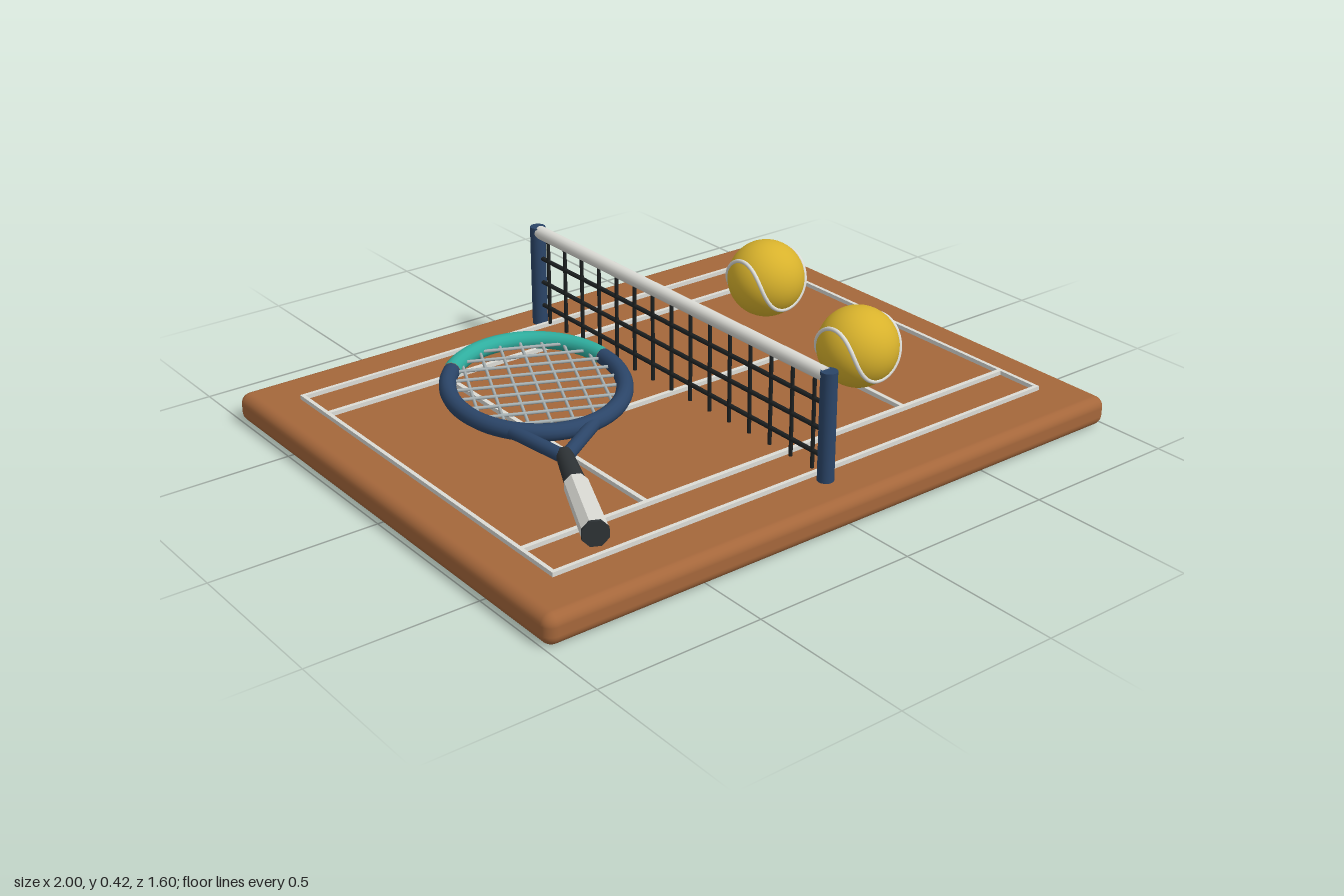
import * as THREE from 'three';
import { RoundedBoxGeometry } from 'three/addons/geometries/RoundedBoxGeometry.js';

const mat = (name, color, flatShading = false) => {
  const m = new THREE.MeshStandardMaterial({ color, flatShading });
  m.name = name;
  return m;
};

export function createModel() {
  const clay = mat('clay', 0xa5673b);
  const white = mat('white', 0xdcdcd6);
  const navy = mat('navy', 0x2b4568);
  const teal = mat('teal', 0x2fae9f);
  const yellow = mat('ballYellow', 0xd8b22c);
  const netBlack = mat('netBlack', 0x1d2122);
  const charcoal = mat('charcoal', 0x2e3336);
  const stringGrey = mat('stringGrey', 0xaab4b6);

  const root = new THREE.Group();
  root.name = 'tennisCourt';
  const V = (x, y, z) => new THREE.Vector3(x, y, z);

  const add = (parent, name, geometry, material, pos = [0, 0, 0]) => {
    const m = new THREE.Mesh(geometry, material);
    m.name = name;
    m.position.set(...pos);
    parent.add(m);
    return m;
  };

  // Cylinder from a to b; r1 is the radius at b
  const rod = (parent, name, a, b, r0, r1, sides, material) => {
    const d = b.clone().sub(a);
    const g = new THREE.CylinderGeometry(r1, r0, d.length(), sides);
    if (sides === 8) g.rotateY(Math.PI / 8);
    const m = add(parent, name, g, material);
    m.position.copy(a).add(b).multiplyScalar(0.5);
    m.quaternion.setFromUnitVectors(V(0, 1, 0), d.normalize());
    return m;
  };

  // Tube along a function of angle
  const arcTube = (parent, name, fn, t0, t1, r, segs, closed, material) => {
    const curve = new THREE.Curve();
    curve.getPoint = (t, out = new THREE.Vector3()) => out.copy(fn(t0 + (t1 - t0) * t));
    return add(parent, name, new THREE.TubeGeometry(curve, segs, r, 14, closed), material);
  };

  // Court slab
  const TOP = 0.09;
  add(root, 'slab', new RoundedBoxGeometry(2, TOP, 1.6, 4, 0.032), clay, [0, TOP / 2, 0]);

  // Painted lines
  const lines = new THREE.Group();
  lines.name = 'courtLines';
  root.add(lines);
  const line = (name, x, z, w, d) =>
    add(lines, name, new THREE.BoxGeometry(w, 0.014, d), white, [x, TOP + 0.006, z]);
  for (const s of [-1, 1]) {
    line('sideline', 0, s * 0.638, 1.75, 0.012);
    line('baseline', s * 0.869, 0, 0.012, 1.288);
    line('singlesLine', 0, s * 0.493, 1.74, 0.014);
    line('serviceLine', s * 0.467, 0, 0.014, 0.986);
  }
  line('centreLine', 0, 0, 0.934, 0.014);

  // Net
  const net = new THREE.Group();
  net.name = 'net';
  root.add(net);
  for (const s of [-1, 1])
    rod(net, 'post', V(0, TOP - 0.01, s * 0.677), V(0, 0.415, s * 0.677), 0.024, 0.024, 20, navy);
  rod(net, 'topTape', V(0, 0.399, -0.665), V(0, 0.399, 0.665), 0.021, 0.021, 16, white);
  for (let i = -7; i <= 7; i++)
    rod(net, 'netVertical', V(0, 0.105, i * 0.0888), V(0, 0.395, i * 0.0888), 0.006, 0.006, 8, netBlack);
  for (const y of [0.157, 0.235, 0.314])
    rod(net, 'netHorizontal', V(0, y, -0.665), V(0, y, 0.665), 0.007, 0.007, 8, netBlack);

  // Balls with a saddle-shaped seam
  const R = 0.123, a = 0.89 * R, b = 0.11 * R, c = 2 * Math.sqrt(a * b);
  const seam = u => V(a * Math.cos(u) - b * Math.cos(3 * u), c * Math.cos(2 * u),
    a * Math.sin(u) + b * Math.sin(3 * u));
  for (const [x, z] of [[0.467, 0.293], [0.597, -0.276]]) {
    const ball = new THREE.Group();
    ball.name = 'ball';
    ball.position.set(x, 0.221, z);
    root.add(ball);
    add(ball, 'ballFelt', new THREE.SphereGeometry(R, 40, 28), yellow);
    arcTube(ball, 'ballSeam', seam, 0, Math.PI * 2, 0.0065, 120, true, white);
  }

  // Racket: local -z points to the tip of the head
  const racket = new THREE.Group();
  racket.name = 'racket';
  racket.position.set(-0.333, 0.142, -0.214);
  racket.rotation.y = -25 * Math.PI / 180;
  root.add(racket);
  const A = 0.319, B = 0.256, split = 63 * Math.PI / 180;
  const oval = t => V(B * Math.sin(t), 0, -A * Math.cos(t));
  arcTube(racket, 'headTip', oval, -split, split, 0.0265, 48, false, teal);
  arcTube(racket, 'headFrame', oval, split, Math.PI * 2 - split, 0.0255, 72, false, navy);

  // Strings clipped to the oval
  for (let i = -3; i <= 3; i++) {
    const x = i * 0.064, h = A * Math.sqrt(1 - (x / B) ** 2);
    rod(racket, 'mainString', V(x, 0, -h), V(x, 0, h), 0.005, 0.005, 6, stringGrey);
  }
  for (let i = -4; i <= 4; i++) {
    const z = i * 0.064, h = B * Math.sqrt(1 - (z / A) ** 2);
    rod(racket, 'crossString', V(-h, 0.003, z), V(h, 0.003, z), 0.005, 0.005, 6, stringGrey);
  }

  // Throat, shaft, grip and end cap
  for (const s of [-1, 1])
    rod(racket, 'throat', V(s * 0.12, 0, 0.285), V(0, 0, 0.478), 0.02, 0.02, 14, navy);
  const gripWhite = mat('gripWhite', 0xdcdcd6, true);
  rod(racket, 'shaft', V(0, 0, 0.46), V(0, 0, 0.65), 0.024, 0.031, 16, charcoal);
  rod(racket, 'grip', V(0, 0, 0.638), V(0, 0, 0.9), 0.035, 0.038, 8, gripWhite);
  rod(racket, 'endCap', V(0, 0, 0.899), V(0, 0, 0.908), 0.039, 0.039, 8, charcoal);

  return root;
}
